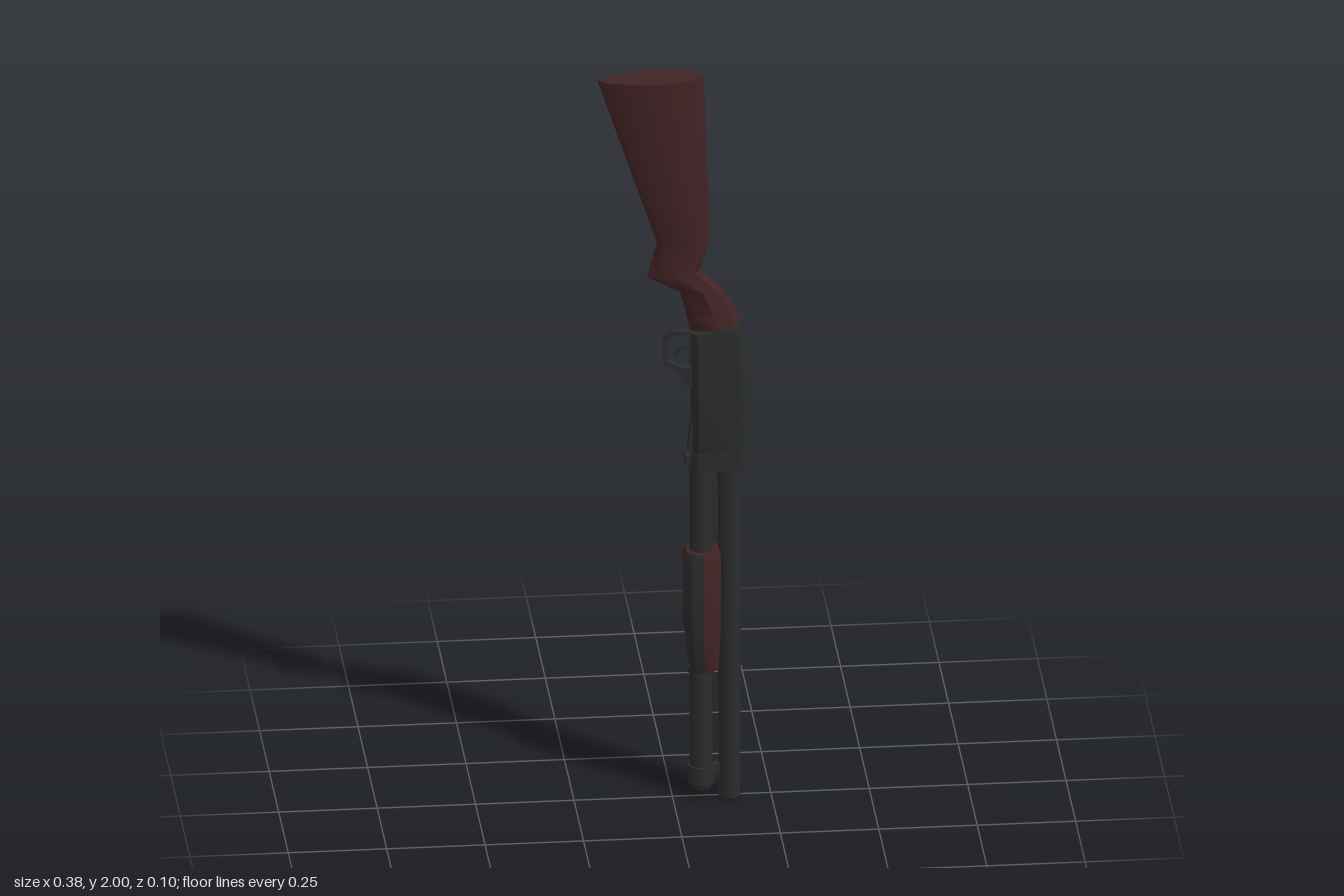
import * as THREE from 'three';
import { toCreasedNormals } from 'three/addons/utils/BufferGeometryUtils.js';

const steel = new THREE.MeshStandardMaterial({ color: 0x2b2c2c });
steel.name = 'gunmetal';
const wood = new THREE.MeshStandardMaterial({ color: 0x422325 });
wood.name = 'dark red wood';
const bore = new THREE.MeshStandardMaterial({ color: 0x151616, side: THREE.DoubleSide });
bore.name = 'bore shadow';

// Skin cross-sections listed from high y to low y.
// section: [xLeft, yLeft, xRight, yRight, halfWidth]; half profile: [fraction across x, fraction of halfWidth]
function loft(sections, half, { keep = () => true, caps = true, crease = 0.5 } = {}) {
  const outline = [
    ...half,
    ...half.slice().reverse().filter(p => p[1] > 0).map(([t, w]) => [t, -w]),
  ];
  const n = outline.length;
  const rings = sections.map(([xl, yl, xr, yr, hw]) =>
    outline.map(([t, w]) => [xl + (xr - xl) * t, yl + (yr - yl) * t, hw * w]));
  const pos = [];
  const tri = (...pts) => pts.forEach(p => pos.push(...p));
  for (let i = 0; i < rings.length - 1; i++) {
    for (let j = 0; j < n; j++) {
      if (!keep(j)) continue;
      const k = (j + 1) % n;
      const a = rings[i][j], b = rings[i][k], c = rings[i + 1][j], d = rings[i + 1][k];
      tri(a, c, d);
      tri(a, d, b);
    }
  }
  if (caps) {
    const top = rings[0], bottom = rings[rings.length - 1];
    for (let j = 1; j < n - 1; j++) {
      tri(top[0], top[j], top[j + 1]);
      tri(bottom[0], bottom[j + 1], bottom[j]);
    }
  }
  const g = new THREE.BufferGeometry();
  g.setAttribute('position', new THREE.Float32BufferAttribute(pos, 3));
  g.computeVertexNormals();
  return toCreasedNormals(g, crease);
}

export function createModel() {
  const group = new THREE.Group();
  const add = (name, geometry, material, x = 0, y = 0, z = 0) => {
    const m = new THREE.Mesh(geometry, material);
    m.name = name;
    m.position.set(x, y, z);
    group.add(m);
    return m;
  };
  // Upright tube between two heights
  const rod = (name, x, y0, y1, r0, r1 = r0, open = false) =>
    add(name, new THREE.CylinderGeometry(r1, r0, y1 - y0, 12, 1, open), steel, x, (y0 + y1) / 2, 0);

  // Shoulder stock with wrist and grip
  add('stock', loft([
    [-0.19, 1.995, 0.08, 2.0, 0.05],
    [-0.04, 1.54, 0.095, 1.54, 0.034],
    [-0.065, 1.445, 0.07, 1.46, 0.029],
    [0.02, 1.4, 0.128, 1.405, 0.031],
    [0.035, 1.34, 0.162, 1.345, 0.037],
    [0.046, 1.285, 0.176, 1.305, 0.042],
  ], [[0, 0], [0.11, 0.5], [0.53, 1], [0.88, 0.7], [1, 0]], { crease: 0.6 }), wood);

  // Receiver body and its front collar
  const bodyShape = [[0, 0.75], [0.1, 1], [0.87, 1], [1, 0]];
  add('receiver', loft([
    [0.046, 1.295, 0.176, 1.315, 0.043],
    [0.048, 1.24, 0.186, 1.245, 0.045],
    [0.05, 0.93, 0.186, 0.93, 0.045],
    [0.055, 0.915, 0.18, 0.915, 0.04],
  ], bodyShape), steel);
  add('receiverCollar', loft([
    [0.046, 0.965, 0.188, 0.965, 0.047],
    [0.046, 0.918, 0.188, 0.918, 0.047],
  ], bodyShape), steel);

  // Ejection port plate on the back side
  const port = new THREE.Shape();
  port.moveTo(-0.025, -0.09);
  port.lineTo(0.025, -0.09);
  port.lineTo(0.025, 0.075);
  port.quadraticCurveTo(0.025, 0.09, 0.01, 0.09);
  port.lineTo(-0.01, 0.09);
  port.quadraticCurveTo(-0.025, 0.09, -0.025, 0.075);
  add('ejectionPort', new THREE.ExtrudeGeometry(port, { depth: 0.004, bevelEnabled: false }),
    steel, 0.135, 1.055, -0.048);

  // Loading gate under the receiver
  const gate = new THREE.Shape([[0.055, 1.06], [0.048, 1.06], [0.038, 0.965], [0.055, 0.965]]
    .map(p => new THREE.Vector2(...p)));
  add('loadingGate', new THREE.ExtrudeGeometry(gate, { depth: 0.03, bevelEnabled: false }), steel, 0, 0, -0.015);
  add('gateCatch', new THREE.BoxGeometry(0.025, 0.03, 0.03), steel, 0.045, 0.935, 0);

  // Trigger guard: flat frame with an open middle
  const guard = new THREE.Shape([
    [0.055, 1.295], [0.0, 1.293], [-0.022, 1.27], [-0.022, 1.205],
    [0.012, 1.182], [0.036, 1.135], [0.055, 1.135],
  ].map(p => new THREE.Vector2(...p)));
  guard.holes.push(new THREE.Path([
    [0.045, 1.283], [0.004, 1.283], [-0.013, 1.265], [-0.013, 1.211], [0.018, 1.195], [0.045, 1.19],
  ].map(p => new THREE.Vector2(...p))));
  add('triggerGuard', new THREE.ExtrudeGeometry(guard, { depth: 0.022, bevelEnabled: false }), steel, 0, 0, -0.011);

  // Curved trigger
  const triggerPath = new THREE.CatmullRomCurve3([
    new THREE.Vector3(0.05, 1.25, 0), new THREE.Vector3(0.025, 1.245, 0), new THREE.Vector3(0.004, 1.228, 0),
  ]);
  add('trigger', new THREE.TubeGeometry(triggerPath, 6, 0.005, 6), steel);

  // Barrel with a hollow muzzle
  rod('barrel', 0.145, 0, 0.93, 0.028, 0.03, true);
  const rim = new THREE.RingGeometry(0.02, 0.028, 12).rotateX(Math.PI / 2);
  add('muzzleRim', rim, steel, 0.145, 0.001, 0);
  add('bore', new THREE.CylinderGeometry(0.02, 0.02, 0.12, 12, 1, true), bore, 0.145, 0.061, 0);
  add('boreEnd', new THREE.CircleGeometry(0.02, 12).rotateX(Math.PI / 2), bore, 0.145, 0.12, 0);

  // Magazine tube, end cap and barrel clamp
  rod('magazineTube', 0.073, 0.08, 0.93, 0.029);
  rod('magazineCap', 0.073, 0.04, 0.088, 0.035);
  rod('magazineCapTip', 0.073, 0.025, 0.04, 0.028, 0.034);
  add('barrelClamp', new THREE.BoxGeometry(0.045, 0.03, 0.02), steel, 0.11, 0.075, 0);

  // Sliding fore-end: wooden grip with a steel front panel
  const gripSections = [
    [0.034, 0.685, 0.118, 0.685, 0.047],
    [0.029, 0.672, 0.121, 0.672, 0.052],
    [0.029, 0.48, 0.121, 0.48, 0.052],
    [0.042, 0.37, 0.116, 0.37, 0.044],
    [0.045, 0.355, 0.112, 0.355, 0.04],
  ];
  const gripShape = [[0, 0.45], [0.2, 0.85], [0.5, 1], [0.8, 0.85], [1, 0.5]];
  const isPanel = j => j < 2;
  add('foreEnd', loft(gripSections, gripShape, { keep: j => !isPanel(j) }), wood);
  add('foreEndPanel', loft(gripSections, gripShape, { keep: isPanel, caps: false }), steel);
  rod('foreEndSleeve', 0.073, 0.345, 0.36, 0.034);

  return group;
}
